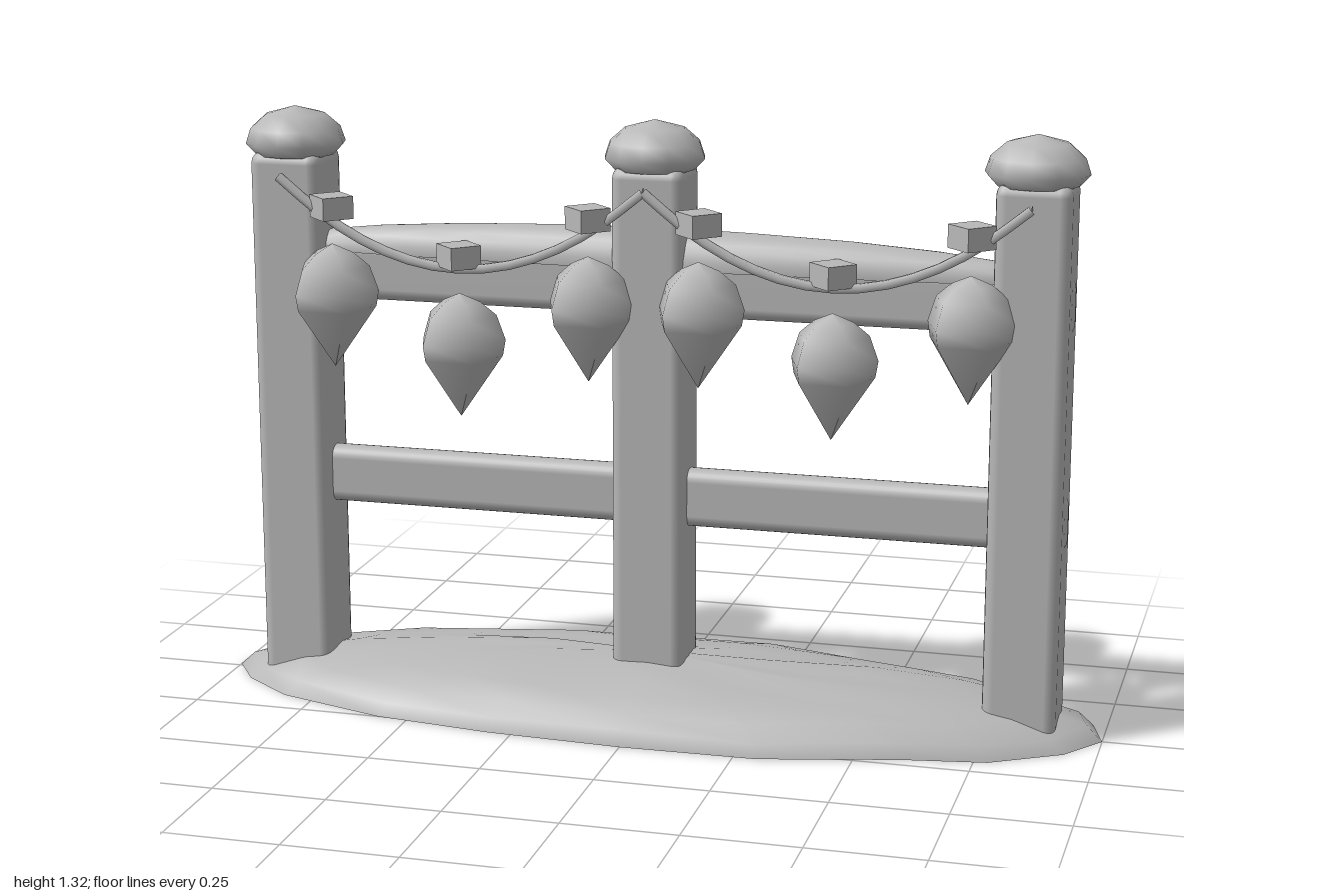
import * as THREE from 'three';
import { RoundedBoxGeometry } from 'three/addons/geometries/RoundedBoxGeometry.js';

const stone = new THREE.MeshStandardMaterial({ color: 0xb8b8b8 });
stone.name = 'plain grey';

const POST_X = 0.825;
const STRING_Z = 0.1;

export function createModel() {
  const model = new THREE.Group();
  model.name = 'fenceWithLanterns';

  const add = (name, geometry, x = 0, y = 0, z = 0) => {
    const mesh = new THREE.Mesh(geometry, stone);
    mesh.name = name;
    mesh.position.set(x, y, z);
    model.add(mesh);
    return mesh;
  };
  const lathe = (pts, sides, start = 0) =>
    new THREE.LatheGeometry(pts.map(([r, y]) => new THREE.Vector2(r, y)), sides, start);

  // Mound: uneven oval dome with a flat underside
  add('mound', moundGeometry());
  add('moundUnderside', undersideGeometry());

  // Posts with domed caps
  const capProfile = [[0, 1.21], [0.088, 1.21], [0.111, 1.235], [0.1, 1.268], [0.066, 1.298], [0, 1.316]];
  for (const x of [-POST_X, 0, POST_X]) {
    add('post', new RoundedBoxGeometry(0.16, 1.22, 0.16, 2, 0.025), x, 0.61, 0);
    add('postCap', lathe(capProfile, 12), x === 0 ? 0 : x * 0.997, 0, 0);
  }

  // Rails running through all posts
  for (const y of [0.485, 0.955]) {
    add('rail', new RoundedBoxGeometry(1.82, 0.13, 0.06, 3, 0.027), 0, y, 0);
  }

  // Long soft drift lying on the upper rail
  const drift = add('railDrift', new THREE.SphereGeometry(1, 28, 6, 0, Math.PI * 2, 0, Math.PI / 2), 0, 1, 0);
  drift.scale.set(0.9, 0.08, 0.065);
  const driftBase = add('railDriftBase', new THREE.CircleGeometry(1, 28).rotateX(Math.PI / 2), 0, 1, 0);
  driftBase.scale.set(0.9, 1, 0.065);

  // Sagging string in two swags, each with three lanterns
  const lanternProfile = [[0, -0.14], [0.093, -0.005], [0.099, 0.03], [0.08, 0.085], [0.045, 0.115], [0, 0.135]];
  for (const side of [-1, 1]) {
    const mid = side * 0.413;
    const points = [];
    for (let i = 0; i <= 8; i++) {
      const t = i / 4 - 1;
      points.push(new THREE.Vector3(mid + t * 0.413, 0.988 + 0.185 * t * t, STRING_Z));
    }
    add('string', new THREE.TubeGeometry(new THREE.CatmullRomCurve3(points), 16, 0.011, 6));
    // Closing discs on the string ends
    for (const t of [-1, 1]) {
      const end = add('stringEnd', new THREE.CircleGeometry(0.011, 6), mid + t * 0.413, 1.173, STRING_Z);
      end.rotation.set(0, t * Math.PI / 2, 0);
    }

    for (const t of [-1, 0, 1]) {
      const x = mid + t * 0.291;
      const raise = t === 0 ? 0 : 0.095;
      add('lantern', lathe(lanternProfile, 5, Math.PI), x, 0.8 + raise, STRING_Z);
      const block = add('lanternCap', new THREE.BoxGeometry(0.072, 0.05, 0.072), x, 1.017 + raise, STRING_Z);
      block.rotation.y = Math.PI / 4;
    }
  }
  return model;
}

// Rim of the mound as x, z pairs, going from +x towards +z
const RIM = [
  [1, 0], [0.93, 0.1], [0.78, 0.19], [0.6, 0.22], [0.3, 0.295], [0, 0.3], [-0.3, 0.285],
  [-0.57, 0.25], [-0.82, 0.17], [-0.94, 0.08], [-1, -0.01], [-0.94, -0.1], [-0.83, -0.16],
  [-0.43, -0.265], [0, -0.305], [0.32, -0.29], [0.6, -0.245], [0.8, -0.18], [0.97, -0.1],
];

function moundGeometry() {
  const n = RIM.length;
  const rings = 6;
  const pos = [0, 0.122, 0];
  const index = [];
  for (let r = 1; r <= rings; r++) {
    const a = (r / rings) * Math.PI / 2;
    RIM.forEach(([x, z], i) => {
      const bump = r < rings ? 0.004 * Math.sin(i * 2.3 + r * 1.7) : 0;
      pos.push(x * Math.sin(a), 0.122 * Math.cos(a) + bump, z * Math.sin(a));
    });
  }
  for (let i = 0; i < n; i++) {
    const j = (i + 1) % n;
    index.push(0, 1 + j, 1 + i);
    for (let r = 0; r < rings - 1; r++) {
      const a = 1 + r * n, b = a + n;
      index.push(a + i, a + j, b + i, a + j, b + j, b + i);
    }
  }
  return build(pos, index);
}

function undersideGeometry() {
  const n = RIM.length;
  const pos = [0, 0, 0];
  const index = [];
  RIM.forEach(([x, z], i) => {
    pos.push(x, 0, z);
    index.push(0, 1 + i, 1 + ((i + 1) % n));
  });
  return build(pos, index);
}

function build(pos, index) {
  const g = new THREE.BufferGeometry();
  g.setAttribute('position', new THREE.Float32BufferAttribute(pos, 3));
  g.setIndex(index);
  g.computeVertexNormals();
  return g;
}
